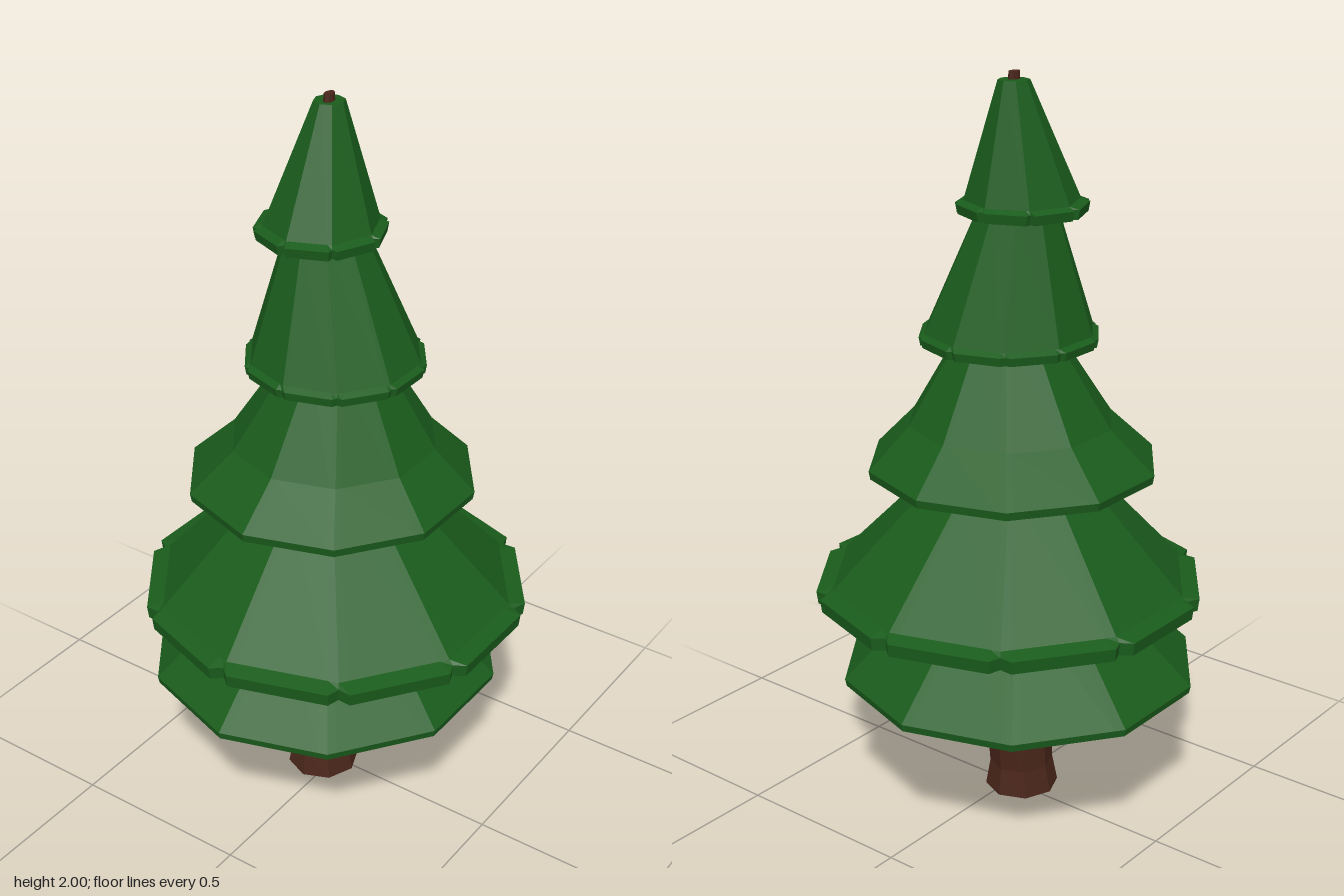
import * as THREE from 'three';

const green = new THREE.MeshStandardMaterial({ color: 0x1a5c1c, flatShading: true });
const brown = new THREE.MeshStandardMaterial({ color: 0x4a261a, flatShading: true });

// One ring of points: every corner, plus the two ends of each side.
// 'flare' pushes the sides out past the corners, leaving a small notch at each corner.
function ringPoints({ r, y, x = 0, z = 0, flare = 0, rz = r }, sides) {
  const points = [];
  const corner = i => {
    const a = (i / sides) * Math.PI * 2;
    return new THREE.Vector3(Math.sin(a) * r, 0, Math.cos(a) * rz);
  };
  for (let i = 0; i < sides; i++) {
    const a = corner(i), b = corner(i + 1);
    points.push(
      a,
      a.clone().lerp(b, 0.09).multiplyScalar(1 + flare),
      a.clone().lerp(b, 0.91).multiplyScalar(1 + flare)
    );
  }
  return points.map(p => p.add(new THREE.Vector3(x, y, z)));
}

// Skin a list of rings, running from the outside top down and back up inside.
function loft(name, rings, sides, material) {
  const n = sides * 3, positions = [], index = [];
  for (const ring of rings) {
    for (const p of ringPoints(ring, sides)) positions.push(p.x, p.y, p.z);
  }
  for (let j = 0; j < rings.length - 1; j++) {
    for (let i = 0; i < n; i++) {
      const k = (i + 1) % n;
      const a = j * n + i, b = a + n, c = (j + 1) * n + k, d = j * n + k;
      index.push(a, b, c, a, c, d);
    }
  }
  const indexed = new THREE.BufferGeometry();
  indexed.setAttribute('position', new THREE.Float32BufferAttribute(positions, 3));
  indexed.setIndex(index);
  const geometry = indexed.toNonIndexed();
  geometry.computeVertexNormals();
  const mesh = new THREE.Mesh(geometry, material);
  mesh.name = name;
  return mesh;
}

// Hollow skirt of branches: outer rings from top to rim, a rim of height 'lip', then the inside.
function branchTier({ name, outer, lip, sides = 10, wall = 0.02, capped = false }) {
  const rim = outer[outer.length - 1];
  const under = { ...rim, y: rim.y - lip, r: rim.r - 0.004 };
  const inside = outer.map(o => ({ ...o, r: Math.max(o.r - wall, 0.015), y: o.y - 0.012 })).reverse();
  inside[0] = { ...under, r: rim.r - wall * 1.5, flare: 0 };
  const rings = [...outer, under, ...inside];
  if (capped) rings.unshift({ ...outer[0], r: 0 });
  else rings.push(outer[0]);
  return loft(name, rings, sides, green);
}

export function createModel() {
  const tree = new THREE.Group();
  tree.name = 'pineTree';

  // Trunk: flared foot, slight bend, tapering to a tiny tip above the branches
  tree.add(loft('trunk', [
    { r: 0, y: 2.0, x: -0.045, z: -0.04 },
    { r: 0.011, rz: 0.018, y: 2.0, x: -0.045, z: -0.038 },
    { r: 0.04, y: 1.4, x: -0.02, z: -0.01 },
    { r: 0.065, y: 0.85, x: -0.015, z: 0.0 },
    { r: 0.086, rz: 0.105, y: 0.32, x: -0.03, z: 0.0 },
    { r: 0.085, rz: 0.09, y: 0.08, x: -0.03, z: 0.016 },
    { r: 0.1, rz: 0.102, y: 0.005, x: -0.03, z: 0.018 },
    { r: 0, y: 0, x: -0.03, z: 0.018 },
  ], 8, brown));

  // Five tiers of branches, bottom to top
  const tiers = [
    {
      name: 'branchTier1', lip: 0.02,
      outer: [
        { r: 0.21, y: 0.67, x: -0.03 },
        { r: 0.485, y: 0.4, x: -0.035 },
      ],
    },
    {
      name: 'branchTier2', lip: 0.035,
      outer: [
        { r: 0.12, y: 1.08, x: -0.01 },
        { r: 0.2, y: 0.95, x: -0.01 },
        { r: 0.485, y: 0.65 },
        { r: 0.5, y: 0.64, flare: 0.065 },
      ],
    },
    {
      name: 'branchTier3', lip: 0.022,
      outer: [
        { r: 0.12, y: 1.34, x: 0.005 },
        { r: 0.275, y: 1.09, x: -0.005 },
        { r: 0.388, y: 0.98, x: -0.012 },
      ],
    },
    {
      name: 'branchTier4', lip: 0.022,
      outer: [
        { r: 0.08, y: 1.74, x: -0.035, z: -0.01 },
        { r: 0.11, y: 1.64, x: -0.03, z: -0.005 },
        { r: 0.225, y: 1.335 },
        { r: 0.23, y: 1.325, flare: 0.05 },
      ],
    },
    {
      name: 'branchTier5', lip: 0.025, sides: 8, capped: true,
      outer: [
        { r: 0.04, y: 1.98, x: -0.048, z: -0.043 },
        { r: 0.148, y: 1.68, x: -0.045, z: -0.005 },
        { r: 0.155, y: 1.672, x: -0.045, z: -0.003, flare: 0.12 },
      ],
    },
  ];
  tiers.forEach(t => tree.add(branchTier(t)));

  return tree;
}
